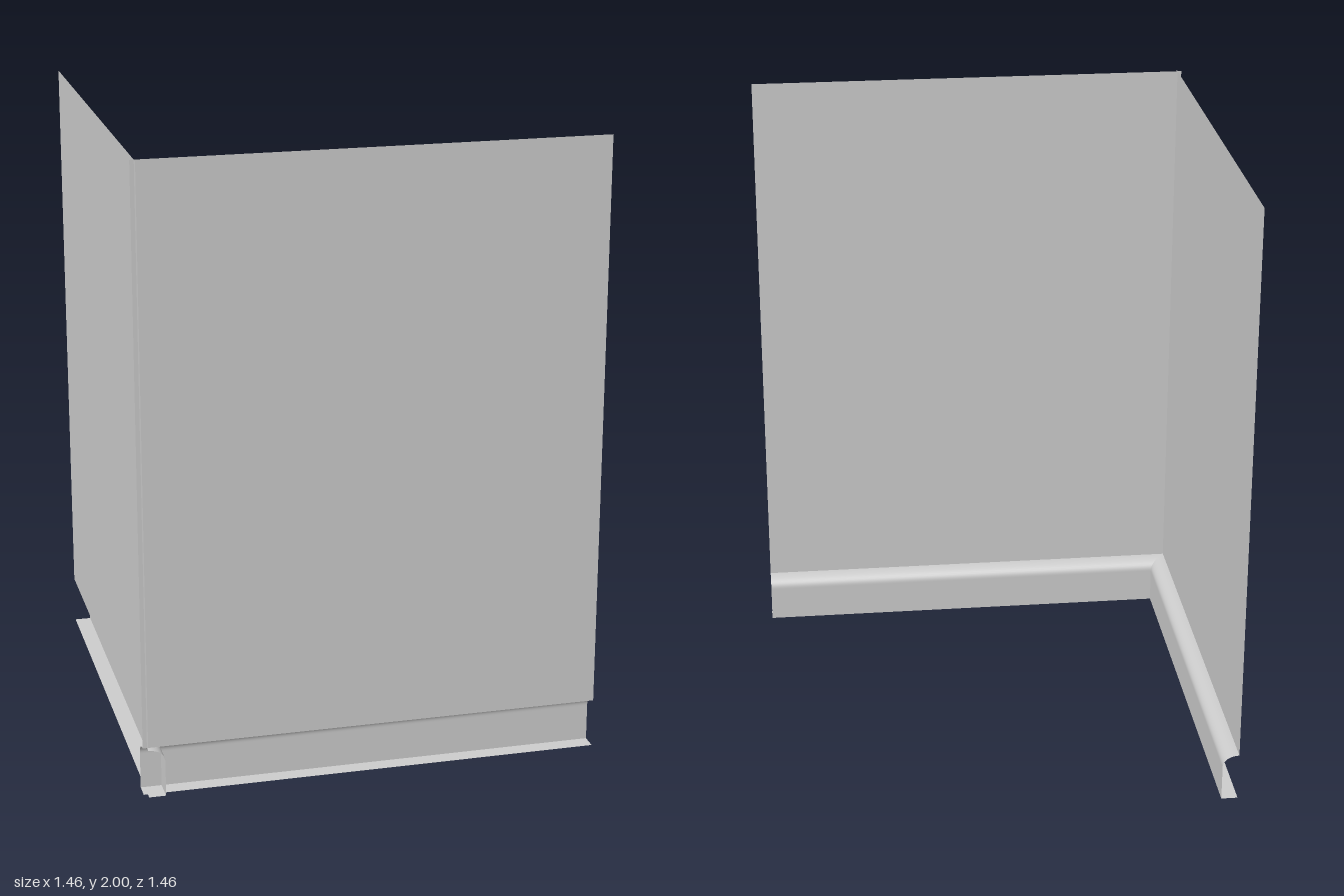
import * as THREE from 'three';

const WIDTH = 1.464, DEPTH = 0.053, TOP = 0.157, SHOULDER = 0.12;

// Open sheet: sweeps a (z, y) profile along x
function sheet(name, profile, material) {
  const geo = new THREE.PlaneGeometry(WIDTH, 1, 1, profile.length - 1);
  const pos = geo.attributes.position;
  for (let i = 0; i < pos.count; i++) {
    const [z, y] = profile[Math.floor(i / 2)];
    pos.setY(i, y);
    pos.setZ(i, z);
  }
  geo.computeVertexNormals();
  const mesh = new THREE.Mesh(geo, material);
  mesh.name = name;
  return mesh;
}

// One wall with its hollow skirting; the wall plane is z = 0, the room is on -z
function wallUnit(name, material) {
  const unit = new THREE.Group();
  unit.name = name;
  unit.add(sheet('wallPanel', [[0, 2], [0, TOP]], material));

  // Quarter-round top running into the upright face
  const skirting = [];
  for (let i = 0; i <= 10; i++) {
    const a = (i / 10) * Math.PI / 2;
    skirting.push([-DEPTH * Math.sin(a), SHOULDER + (TOP - SHOULDER) * Math.cos(a)]);
  }
  skirting.push([-DEPTH, SHOULDER - 0.005], [-DEPTH, 0]);
  unit.add(sheet('skirtingBoard', skirting, material));

  // Flat foot under the skirting
  unit.add(sheet('skirtingFoot', [[-DEPTH, 0], [0, 0]], material));
  return unit;
}

export function createModel() {
  const model = new THREE.Group();
  model.name = 'wallCorner';
  const material = new THREE.MeshStandardMaterial({ color: 0xcccccc, side: THREE.DoubleSide });

  const front = wallUnit('frontWall', material);
  front.position.z = 0.71;

  // Second unit turned to face the other way round the corner
  const side = wallUnit('sideWall', material);
  side.rotation.y = -Math.PI / 2;
  side.position.x = -0.719;

  model.add(front, side);
  return model;
}
